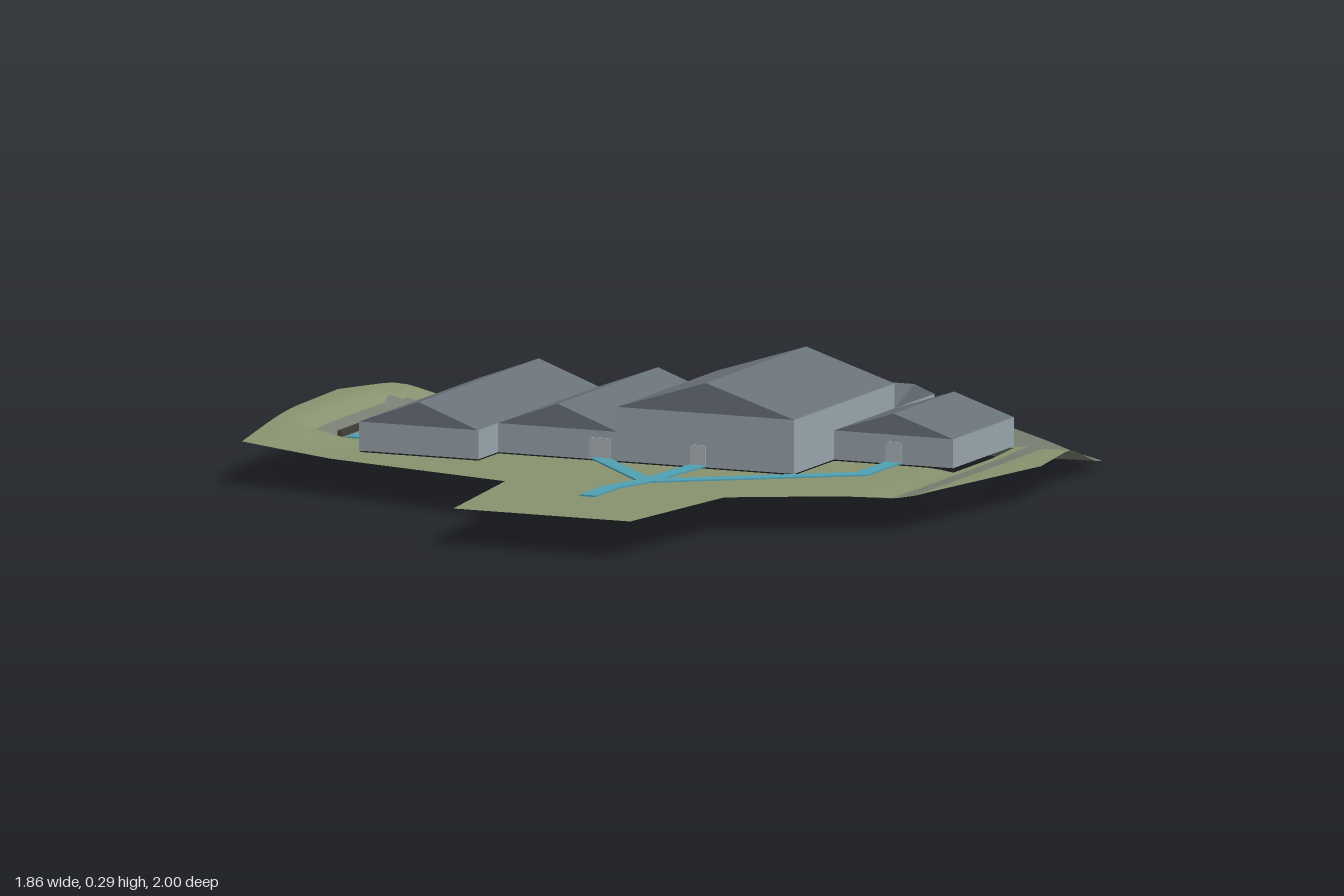
import * as THREE from 'three';

const mat = (name, color, side = THREE.FrontSide) => {
  const m = new THREE.MeshStandardMaterial({ color, side });
  m.name = name;
  return m;
};

// Buildings: x0, x1, z0, z1, eave height, ridge height, ridge axis
const BASE = 0.095;
const BUILDINGS = [
  ['westHall', -0.63, -0.32, -0.35, 0.345, 0.165, 0.222, 'z'],
  ['innerHall', -0.32, -0.01, -0.35, 0.23, 0.165, 0.222, 'z'],
  ['mainHall', -0.01, 0.45, -0.35, 0.23, 0.225, 0.298, 'z'],
  ['eastHall', 0.45, 0.76, -0.35, 0.0, 0.165, 0.216, 'z'],
  ['rearAnnex', -0.01, 0.45, -0.58, -0.35, 0.165, 0.206, 'x'],
];

// Site outline as two chains of [z, x] running from back to front
const LEFT = [[-1, -0.05], [-0.83, -0.36], [-0.58, -0.74], [-0.2, -0.93], [0.4, -0.91], [0.59, -0.14], [1, -0.09]];
const RIGHT = [[-1, 0.47], [-0.66, 0.85], [-0.13, 0.93], [0.38, 0.83], [0.59, 0.43], [1, 0.37]];

function along(chain, z) {
  for (let i = 1; i < chain.length; i++) {
    const [z0, x0] = chain[i - 1], [z1, x1] = chain[i];
    if (z <= z1) return x0 + (x1 - x0) * (z - z0) / (z1 - z0);
  }
  return chain[chain.length - 1][1];
}

// Ground height: flat terrace, bank falling to the back, mound on the west side
function height(x, z) {
  const s = THREE.MathUtils.smoothstep;
  const start = Math.abs(z) < 0.23 ? 0.74 : 0.63;
  const mound = 0.048 * s(-x, start, 0.88) * (1 - s(z, 0.05, 0.6));
  const ditch = -0.008 * Math.exp(-(((x - 0.77) / 0.04) ** 2)) * s(z, -0.4, -0.2);
  const hollow = -0.016 * Math.exp(-(((x - 0.63) / 0.1) ** 2) - (((z + 0.7) / 0.08) ** 2));
  const fall = s(-z, 0.34, 0.68);
  return (0.092 + mound + ditch) * (1 - fall) + 0.019 * fall + hollow;
}

// Evenly filled list of grid lines that includes all the key values
function gridLines(keys, step) {
  const k = [...new Set(keys)].sort((a, b) => a - b), out = [k[0]];
  for (let i = 1; i < k.length; i++) {
    const n = Math.max(1, Math.round((k[i] - k[i - 1]) / step));
    for (let j = 1; j <= n; j++) out.push(k[i - 1] + (k[i] - k[i - 1]) * j / n);
  }
  return out;
}

function terrain(grass, bank) {
  const xs = gridLines([-0.93, 0.93, 0.78, 0.83, -0.81, -0.74, ...BUILDINGS.flatMap(b => [b[1], b[2]])], 0.03);
  const zs = gridLines([...LEFT, ...RIGHT].map(p => p[0]).concat([-0.39, ...BUILDINGS.flatMap(b => [b[3], b[4]])]), 0.03);
  const pos = [], green = [], grey = [], n = xs.length;
  for (const z of zs) {
    for (const x0 of xs) {
      const x = THREE.MathUtils.clamp(x0, along(LEFT, z), along(RIGHT, z));
      pos.push(x, height(x, z), z);
    }
  }
  for (let i = 0; i < zs.length - 1; i++) {
    for (let j = 0; j < n - 1; j++) {
      const x = (xs[j] + xs[j + 1]) / 2, z = (zs[i] + zs[i + 1]) / 2;
      // the ground is open below each building
      if (BUILDINGS.some(b => x > b[1] && x < b[2] && z > b[3] && z < b[4])) continue;
      const bare = z < -0.39 || (x > 0.78 && x < 0.83 && z < 0.38) ||
        (x > -0.81 && x < -0.74 && Math.abs(z) < 0.24) || (x > -0.79 && x < -0.63 && z > -0.27 && z < -0.21);
      const a = i * n + j, b = a + n;
      (bare ? grey : green).push(a, b, a + 1, a + 1, b, b + 1);
    }
  }
  const g = new THREE.BufferGeometry();
  g.setAttribute('position', new THREE.Float32BufferAttribute(pos, 3));
  g.setIndex([...green, ...grey]);
  g.addGroup(0, green.length, 0);
  g.addGroup(green.length, grey.length, 1);
  g.computeVertexNormals();
  const mesh = new THREE.Mesh(g, [grass, bank]);
  mesh.name = 'terrain';
  return mesh;
}

export function createModel() {
  const root = new THREE.Group();
  root.name = 'buildingComplex';
  const wall = mat('wall', 0x98a4ac), roof = mat('roof', 0x697179);
  const path = mat('path', 0x4fa0b2, THREE.DoubleSide), door = mat('door', 0xa9b2b7);
  const grass = mat('grass', 0x87926f, THREE.DoubleSide), bank = mat('bank', 0x777d70, THREE.DoubleSide);
  const dark = mat('dark', 0x43433c);

  const add = (name, geo, m, parent = root) => {
    const mesh = new THREE.Mesh(geo, m);
    mesh.name = name;
    parent.add(mesh);
    return mesh;
  };
  const box = (name, w, h, d, x, y, z, m, parent) => {
    const b = add(name, new THREE.BoxGeometry(w, h, d), m, parent);
    b.position.set(x, y, z);
    return b;
  };

  root.add(terrain(grass, bank));

  // Halls: wall block and gabled roof prism
  for (const [name, x0, x1, z0, z1, eave, ridge, axis] of BUILDINGS) {
    const g = new THREE.Group();
    g.name = name;
    root.add(g);
    const w = x1 - x0, d = z1 - z0, cx = (x0 + x1) / 2, cz = (z0 + z1) / 2;
    box('walls', w, eave - BASE, d, cx, (eave + BASE) / 2, cz, wall, g);
    const span = axis === 'z' ? w : d, length = axis === 'z' ? d : w;
    const tri = new THREE.Shape();
    tri.moveTo(-span / 2, 0);
    tri.lineTo(span / 2, 0);
    tri.lineTo(0, ridge - eave);
    tri.closePath();
    const geo = new THREE.ExtrudeGeometry(tri, { depth: length, bevelEnabled: false });
    geo.translate(0, 0, -length / 2);
    if (axis === 'x') geo.rotateY(Math.PI / 2);
    add('roof', geo, roof, g).position.set(cx, eave, cz);
  }

  // Doors
  for (const [x, z, w] of [[-0.055, 0.23, 0.055], [0.2, 0.23, 0.04], [0.605, 0, 0.04], [0.13, -0.58, 0.03], [0.32, -0.58, 0.03]]) {
    box('door', w, 0.053, 0.006, x, BASE + 0.0265, z, door);
  }

  // Footpaths: thin ribbons with rounded joints
  const ribbon = (points, width) => {
    const g = new THREE.Group();
    g.name = 'footpath';
    root.add(g);
    points.forEach(([x, z], i) => {
      if (i === 0) return;
      const [px, pz] = points[i - 1], dx = x - px, dz = z - pz;
      const s = box('pathStrip', width, 0.004, Math.hypot(dx, dz), (x + px) / 2, 0.098, (z + pz) / 2, path, g);
      s.rotation.y = Math.atan2(dx, dz);
      if (i < points.length - 1) {
        add('pathJoint', new THREE.CylinderGeometry(width / 2, width / 2, 0.004, 12), path, g).position.set(x, 0.098, z);
      }
    });
  };
  ribbon([[0.14, 0.735], [0.14, 0.6], [0.178, 0.48], [0.2, 0.23]], 0.042);
  ribbon([[-0.06, 0.225], [0.178, 0.48], [0.605, 0.18], [0.605, 0]], 0.04);
  ribbon([[0.11, -0.585], [0.215, -0.705], [0.325, -0.585]], 0.036);

  // West terrace with triangular planting gaps
  const terrace = new THREE.Shape([[-0.725, -0.2], [-0.63, -0.2], [-0.63, 0.2], [-0.725, 0.2]].map(p => new THREE.Vector2(...p)));
  for (const tri of [[[-0.68, 0.17], [-0.64, 0.17], [-0.64, 0.09]], [[-0.68, 0.11], [-0.645, 0.02], [-0.68, -0.06]],
    [[-0.64, -0.03], [-0.67, -0.12], [-0.64, -0.17]]]) {
    terrace.holes.push(new THREE.Path(tri.map(p => new THREE.Vector2(...p))));
  }
  const tg = new THREE.ExtrudeGeometry(terrace, { depth: 0.004, bevelEnabled: false });
  tg.rotateX(-Math.PI / 2);
  add('westTerrace', tg, path).position.y = 0.097;

  // Low retaining strip at the foot of the mound
  box('retainingStrip', 0.01, 0.02, 0.35, -0.755, 0.1, 0.005, dark);
  return root;
}
